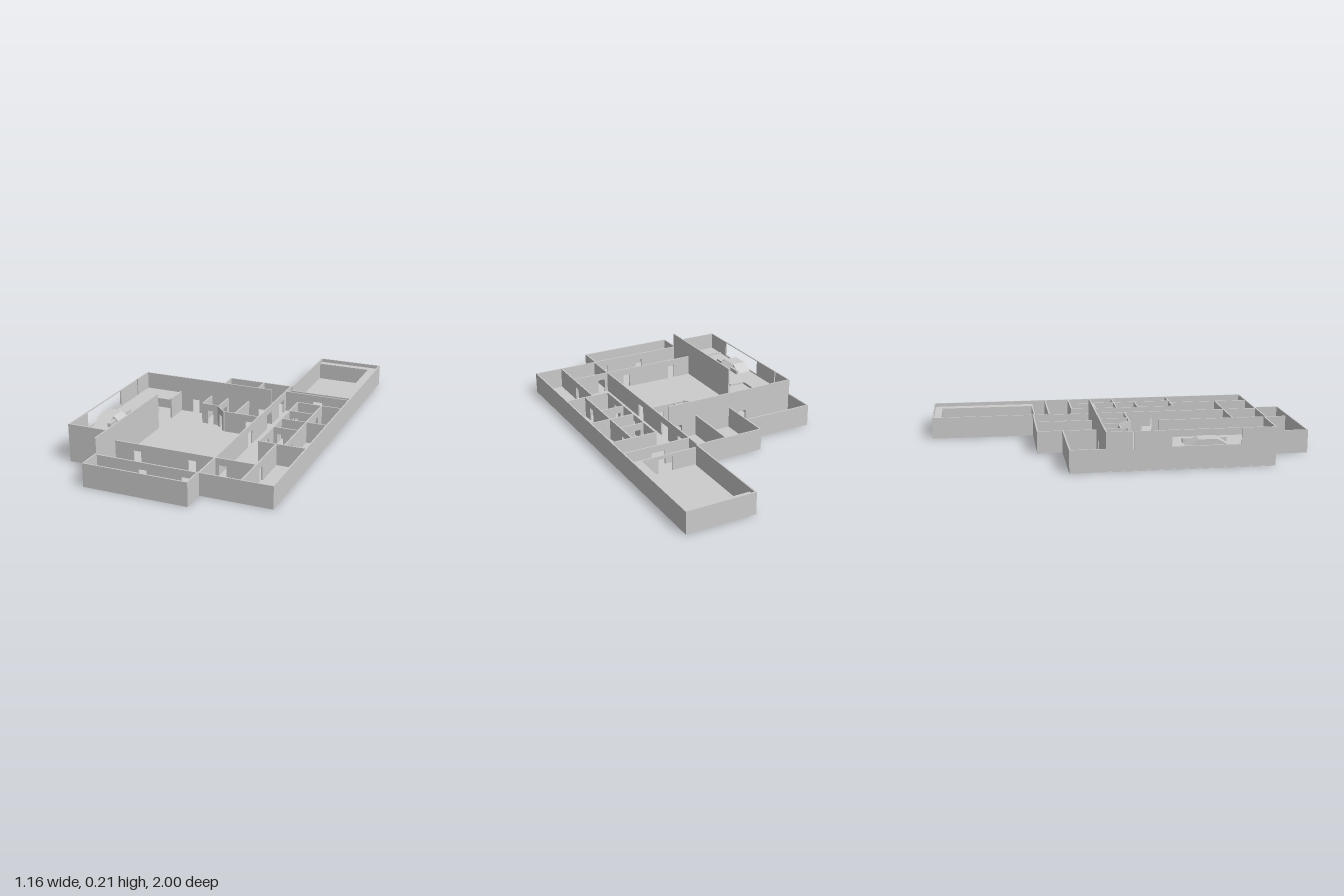
import * as THREE from 'three';

const MAT = new THREE.MeshStandardMaterial({ color: 0xcccccc, flatShading: true, side: THREE.DoubleSide });
const T = 0.008, LOW = 0.12, FRONT = 0.126, TALL = 0.206;

function box(parent, name, x0, x1, y0, y1, z0, z1) {
  const m = new THREE.Mesh(new THREE.BoxGeometry(x1 - x0, y1 - y0, z1 - z0), MAT);
  m.position.set((x0 + x1) / 2, (y0 + y1) / 2, (z0 + z1) / 2);
  m.name = name;
  parent.add(m);
  return m;
}

// A doorway: centre along the wall, width, bottom, top
const door = (c, w = 0.042) => [c, w, 0, 0.082];

// Wall along 'x' or 'z' at a fixed coordinate, split around its sorted openings
function wall(parent, name, axis, at, from, to, h, openings = []) {
  const g = new THREE.Group();
  g.name = name;
  const piece = (a, b, y0, y1) => {
    if (b - a < 1e-4 || y1 - y0 < 1e-4) return;
    if (axis === 'x') box(g, 'wallPanel', a, b, y0, y1, at - T / 2, at + T / 2);
    else box(g, 'wallPanel', at - T / 2, at + T / 2, y0, y1, a, b);
  };
  let p = from;
  for (const [c, w, y0, y1] of openings) {
    piece(p, c - w / 2, 0, h);
    piece(c - w / 2, c + w / 2, 0, y0);
    piece(c - w / 2, c + w / 2, y1, h);
    p = c + w / 2;
  }
  piece(p, to, 0, h);
  parent.add(g);
}

// Flat plate from plan points [x, z]
function plate(parent, name, pts, y, thick) {
  const s = new THREE.Shape(pts.map(([x, z]) => new THREE.Vector2(x, -z)));
  const geo = new THREE.ExtrudeGeometry(s, { depth: thick, bevelEnabled: false });
  geo.rotateX(-Math.PI / 2);
  const m = new THREE.Mesh(geo, MAT);
  m.position.y = y;
  m.name = name;
  parent.add(m);
}

export function createModel() {
  const model = new THREE.Group();
  model.name = 'buildingFloorPlan';

  // Ground floor plate
  plate(model, 'floor', [
    [0.2, -1], [0.578, -1], [0.578, 0.87], [0.2, 0.87], [0.2, 1], [-0.36, 1],
    [-0.36, 0.76], [-0.58, 0.76], [-0.58, -0.3], [-0.185, -0.3], [-0.185, -0.435], [0.2, -0.435],
  ], 0, 0.004);

  // Outer walls
  const outer = new THREE.Group();
  outer.name = 'outerWalls';
  model.add(outer);
  wall(outer, 'leftWall', 'z', 0.574, -1, 0.87, LOW);
  wall(outer, 'backWingEndWall', 'x', -0.996, 0.2, 0.578, LOW);
  wall(outer, 'backWingSideWall', 'z', 0.204, -1, -0.43, LOW);
  wall(outer, 'backRoomWall', 'x', -0.431, -0.185, 0.2, LOW);
  wall(outer, 'backRoomSideWall', 'z', -0.181, -0.435, -0.3, LOW);
  wall(outer, 'rightBackWall', 'x', -0.296, -0.58, -0.181, LOW);
  wall(outer, 'rightBackSideWall', 'z', -0.576, -0.3, -0.115, LOW);
  wall(outer, 'frontLeftWall', 'x', 0.866, 0.2, 0.578, LOW);
  wall(outer, 'frontWall', 'x', 0.996, -0.36, 0.2, FRONT);
  wall(outer, 'frontWingRightWall', 'z', -0.356, 0.87, 1, FRONT);
  wall(outer, 'frontWingLeftWall', 'z', 0.196, 0.87, 1, FRONT);

  // Tall hall walls; the right one has a narrow slit and a long window
  const hall = new THREE.Group();
  hall.name = 'tallHallWalls';
  model.add(hall);
  wall(hall, 'hallBackWall', 'x', -0.112, -0.576, 0.196, TALL, [door(-0.265), door(0.14)]);
  wall(hall, 'hallRightWall', 'z', -0.574, -0.112, 0.76, TALL,
    [[0.025, 0.01, 0.11, TALL], [0.4, 0.36, 0.12, 0.202]]);
  wall(hall, 'galleryFrontWall', 'x', 0.756, -0.578, -0.36, TALL);
  wall(hall, 'galleryInnerWall', 'z', -0.36, 0.19, 0.87, TALL);

  // Gallery floor with a notch, and its stepped landing
  plate(model, 'galleryFloor', [
    [-0.572, -0.112], [-0.36, -0.112], [-0.36, 0.025], [-0.45, 0.025],
    [-0.45, 0.17], [-0.36, 0.17], [-0.36, 0.754], [-0.572, 0.754],
  ], 0.105, 0.008);
  const landing = new THREE.Group();
  landing.name = 'landing';
  model.add(landing);
  box(landing, 'landingTop', -0.57, -0.49, 0.112, 0.15, 0.36, 0.455);
  const ramp = (name, pts, depth, place) => {
    const s = new THREE.Shape(pts.map(([x, y]) => new THREE.Vector2(x, y)));
    const m = new THREE.Mesh(new THREE.ExtrudeGeometry(s, { depth, bevelEnabled: false }), MAT);
    m.name = name;
    place(m);
    landing.add(m);
  };
  ramp('innerRamp', [[0, 0], [0.05, 0], [0, 0.037]], 0.095, (m) => m.position.set(-0.49, 0.113, 0.36));
  for (const [name, z, s] of [['frontRamp', 0.455, 1], ['backRamp', 0.36, -1]]) {
    ramp(name, [[0, 0], [s * 0.066, 0], [0, 0.037]], 0.08, (m) => {
      m.rotation.y = -Math.PI / 2;
      m.position.set(-0.49, 0.113, z);
    });
    const z0 = s > 0 ? 0.455 : 0.29;
    box(landing, 'sideRail', -0.488, -0.472, 0.113, 0.135, z0, z0 + 0.066);
  }

  // Inner walls: [name, axis, at, from, to, openings]
  const inner = new THREE.Group();
  inner.name = 'innerWalls';
  model.add(inner);
  const plan = [
    ['spineWall', 'z', 0.197, -0.43, 0.87, [door(-0.26, 0.08), door(-0.07, 0.08), door(0.22, 0.06)]],
    ['backRoomDivider', 'z', -0.181, -0.3, -0.112, []],
    ['backRoomDivider', 'z', 0.03, -0.431, -0.112, []],
    ['wingWall', 'x', -0.34, 0.2, 0.574, [door(0.38, 0.08)]],
    ['corridorWall', 'z', 0.32, -0.2, 0.4, [door(-0.13), door(0.065), door(0.285)]],
    ['corridorBackWall', 'x', -0.2, 0.32, 0.574, []],
    ['cabinWall', 'z', 0.46, -0.2, 0.4, [door(-0.11), door(0.31)]],
    ['cabinDivider', 'x', -0.06, 0.32, 0.46, [door(0.36, 0.035)]],
    ['cabinDivider', 'x', 0.065, 0.32, 0.574, []],
    ['cabinDivider', 'x', 0.19, 0.32, 0.46, [door(0.36, 0.035)]],
    ['corridorFrontWall', 'x', 0.4, 0.32, 0.574, []],
    ['frontLeftDivider', 'z', 0.415, 0.4, 0.87, [door(0.62)]],
    ['frontLeftRoomWall', 'x', 0.675, 0.2, 0.415, [door(0.24)]],
    ['hallFrontWall', 'x', 0.675, -0.36, 0.197, [door(-0.23), door(0.075)]],
    ['lobbyFrontWall', 'x', 0.868, -0.36, 0.197, [door(-0.1), door(0.13)]],
    ['galleryRoomWall', 'x', 0.64, -0.574, -0.36, [door(-0.42, 0.075)]],
    ['galleryBackRoomWall', 'z', -0.36, -0.112, 0.025, []],
    ['hallRoomWall', 'z', -0.065, -0.112, 0.02, [door(-0.05, 0.07)]],
    ['hallRoomWall', 'z', -0.165, -0.112, 0.02, []],
    ['hallRoomFrontWall', 'x', 0.02, -0.165, -0.065, [door(-0.115, 0.035)]],
    ['hallRoomWall', 'z', 0.06, -0.112, 0.09, []],
    ['hallRoomFrontWall', 'x', 0.09, 0.0, 0.197, [door(0.14, 0.035)]],
  ];
  for (const [name, axis, at, from, to, openings] of plan) wall(inner, name, axis, at, from, to, LOW, openings);

  // Slanted wall with a doorway
  const slant = new THREE.Group();
  wall(slant, 'slantedWall', 'x', 0, -0.048, 0.048, LOW, [door(0, 0.04)]);
  slant.name = 'slantedWall';
  slant.position.set(-0.035, 0, 0.06);
  slant.rotation.y = -Math.atan2(0.07, 0.065);
  model.add(slant);

  // Raised ledges around the back wing
  const ledges = new THREE.Group();
  ledges.name = 'backWingLedges';
  model.add(ledges);
  box(ledges, 'sideLedge', 0.515, 0.57, 0.004, 0.1, -0.992, -0.42);
  box(ledges, 'endLedge', 0.208, 0.515, 0.004, 0.1, -0.992, -0.95);
  wall(ledges, 'lowWingWall', 'x', -0.42, 0.204, 0.574, 0.1, [door(0.38, 0.08)]);

  return model;
}
